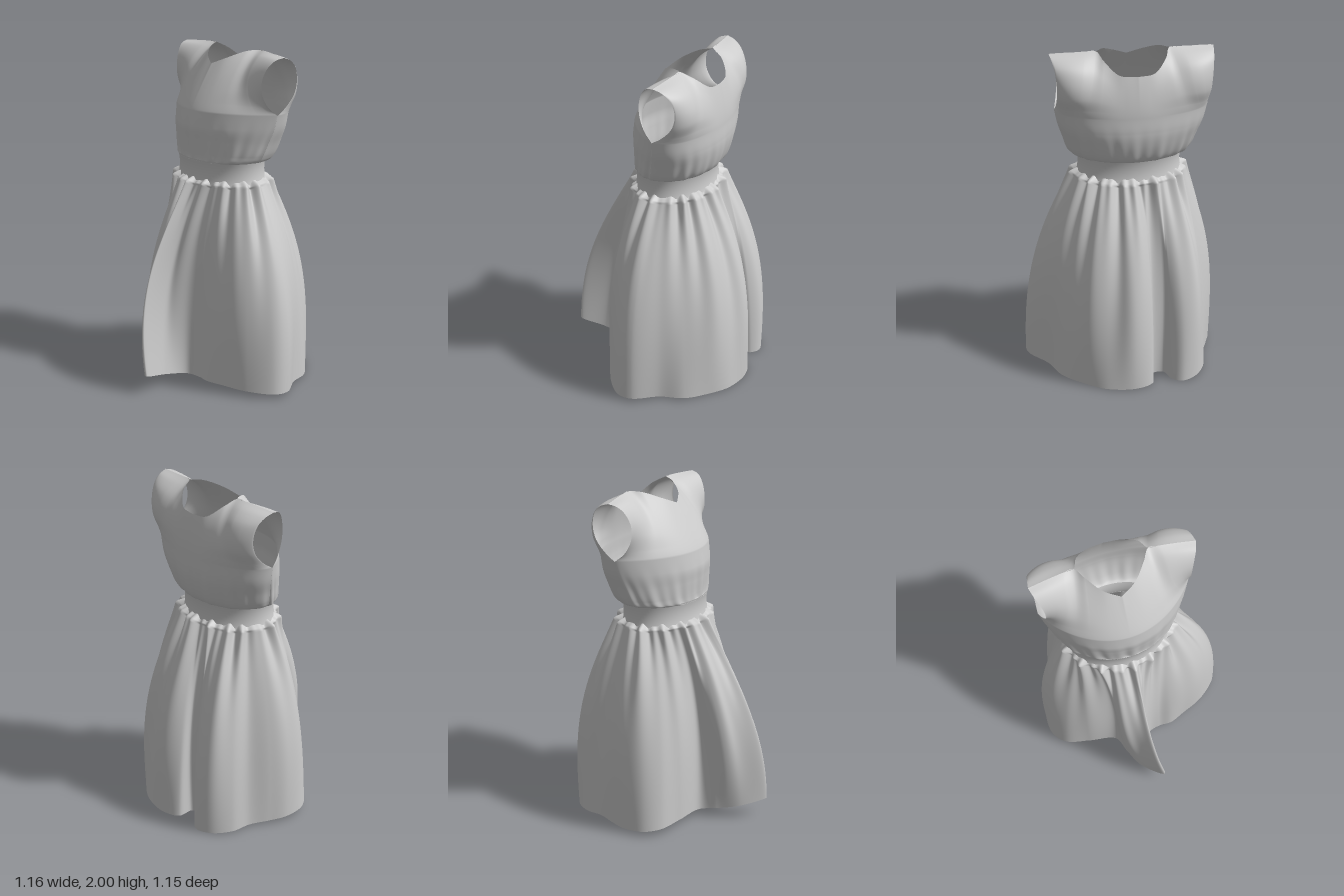
import * as THREE from 'three';
import { ParametricGeometry } from 'three/addons/geometries/ParametricGeometry.js';

const CX = -0.06; // centre line of the bodice and waist
const { lerp, smoothstep } = THREE.MathUtils;
const cloth = new THREE.MeshStandardMaterial({ color: 0xcccccc, side: THREE.DoubleSide });

// irregular gathering pattern around the body, about -1..1
const gather = (a) => 0.6 * Math.sin(17 * a + 1.3 * Math.sin(3 * a)) + 0.4 * Math.sin(29 * a + 2 * Math.sin(2 * a));

const curve3 = (pts, closed = false) =>
  new THREE.CatmullRomCurve3(pts.map((p) => new THREE.Vector3(...p)), closed);

function surface(name, fn, nu, nv) {
  const mesh = new THREE.Mesh(new ParametricGeometry(fn, nu, nv), cloth);
  mesh.name = name;
  return mesh;
}

// hem outline seen from above (x, z), starting at the front fold's tip
const hem = curve3([
  [0.05, 0.57], [0.02, 0.4], [0.04, 0.26], [0.12, 0.23], [0.2, 0.23], [0.3, 0.19], [0.45, 0.12],
  [0.57, 0], [0.57, -0.09], [0.46, -0.23], [0.4, -0.36], [0.28, -0.47], [0.15, -0.55],
  [-0.02, -0.575], [-0.13, -0.53], [-0.14, -0.44], [-0.21, -0.43], [-0.25, -0.51], [-0.31, -0.54],
  [-0.4, -0.5], [-0.47, -0.4], [-0.49, -0.28], [-0.54, -0.17], [-0.58, -0.06], [-0.57, 0.07],
  [-0.5, 0.15], [-0.35, 0.19], [-0.18, 0.23], [-0.14, 0.33], [-0.08, 0.46],
].map(([x, z]) => [x, 0, z]), true);
hem.arcLengthDivisions = 600;

// skirt: gathered waist ellipse flaring into the folded hem
function skirtPoint(u, v, out) {
  const a = u * Math.PI * 2;
  const t = Math.pow(1 - v, 1.5);
  const h = hem.getPointAt(u % 1);
  const spread = 1 - Math.pow(1 - t, lerp(2.8, 2.2, smoothstep(h.z, 0.2, 0.5)));
  const hemY = Math.max(0, 0.03 + 0.05 * h.z + (h.z > 0 ? 0.17 * h.z * h.z : 0));
  const g = gather(a);
  const mid = Math.sin(Math.PI * t);
  const pleat = 0.026 * g * Math.exp(-t * 4.5) * Math.min(1, t / 0.02)
    + 0.024 * Math.exp(-t * 12) * Math.min(1, t / 0.015)
    + 0.015 * mid * Math.sin(11 * a + 2 * Math.sin(2 * a) + 1.5 * t);
  const sway = 0.05 * mid * smoothstep(h.z, 0.2, 0.4); // the front fold leans to its right half way down
  const x = lerp(CX + 0.305 * Math.sin(a), h.x, spread) - sway;
  const z = lerp(-0.075 + 0.225 * Math.cos(a), h.z, spread);
  out.set(x + pleat * Math.sin(a), lerp(1.245 + 0.012 * g, hemY, t), z + pleat * Math.cos(a));
}

// waistband: slightly concave elliptical strip
function bandPoint(u, v, out) {
  const a = u * Math.PI * 2;
  const flare = 0.01 * (2 * v - 1) ** 2;
  out.set(CX + (0.302 + flare) * Math.sin(a), lerp(1.22, 1.365, v), -0.075 + (0.222 + flare) * Math.cos(a));
}

// lower bodice: half width, height, centre z of each ring, and its depth in front and behind
const widths = curve3([
  [0.31, 1.355, -0.075], [0.35, 1.368, -0.082], [0.37, 1.4, -0.09],
  [0.397, 1.48, -0.11], [0.425, 1.56, -0.13], [0.445, 1.65, -0.14],
]);
const depths = curve3([
  [0.23, 0.23, 0], [0.234, 0.245, 0], [0.243, 0.257, 0],
  [0.27, 0.262, 0], [0.295, 0.252, 0], [0.292, 0.24, 0],
]);

// neckline and shoulder seam, from centre to shoulder tip
const shoulder = [[0.21, 1.998, -0.19], [0.27, 1.998, -0.185], [0.36, 1.993, -0.175], [0.47, 1.985, -0.16]];
const frontEdge = curve3([[0, 1.91, 0.005], [0.09, 1.95, -0.04], [0.165, 1.99, -0.125], ...shoulder]);
const backEdge = curve3([[0, 1.885, -0.34], [0.1, 1.895, -0.325], [0.175, 1.96, -0.262], ...shoulder]);

// armhole edges, from armpit to shoulder tip
const frontArm = curve3([
  [0.445, 1.65, -0.14], [0.427, 1.7, -0.085], [0.416, 1.78, -0.048], [0.418, 1.86, -0.046],
  [0.435, 1.93, -0.072], [0.455, 1.97, -0.11], [0.47, 1.985, -0.16],
]);
const backArm = curve3([
  [0.445, 1.65, -0.14], [0.442, 1.69, -0.2], [0.442, 1.76, -0.262], [0.444, 1.84, -0.282],
  [0.452, 1.92, -0.262], [0.462, 1.965, -0.215], [0.47, 1.985, -0.16],
]);

// one half of the bodice: rings up to the armpit, then blended between neckline and armholes
function bodiceHalf(front) {
  const dir = front ? 1 : -1;
  const edge = front ? frontEdge : backEdge;
  const arm = front ? frontArm : backArm;
  const armpit = arm.getPoint(0);
  const tip = arm.getPoint(1);
  const split = 0.45;

  const ringPoint = (s, v) => {
    const a = s * Math.PI / 2;
    const r = widths.getPoint(v);
    const d = depths.getPoint(v);
    const power = lerp(1, front ? 1.6 : 0.88, v);
    const w = 0.009 * gather(front ? a : Math.PI + a) * Math.sin(Math.PI * v) * (1 - v);
    const depth = (front ? d.x : d.y) + w;
    return new THREE.Vector3((r.x + w) * Math.sin(a), r.y,
      r.z + dir * depth * Math.pow(Math.max(0, Math.cos(a)), power));
  };

  return (u, v, out) => {
    const s = 2 * u - 1;
    if (v <= split) {
      out.copy(ringPoint(s, v / split));
    } else {
      const t = (v - split) / (1 - split);
      const k = Math.abs(s);
      const side = Math.sign(s);
      const base = ringPoint(s, 1);
      const top = edge.getPoint(k);
      const e = arm.getPoint(t);
      const pull = smoothstep(k, 0.1, 1);
      const ease = Math.pow(t, front ? 1.12 : 1.7);
      out.set(
        lerp(base.x, top.x * side, t) + side * pull * (e.x - lerp(armpit.x, tip.x, t)),
        lerp(base.y, top.y, t) + pull * (e.y - lerp(armpit.y, tip.y, t)),
        lerp(base.z, top.z, ease) + pull * (e.z - lerp(armpit.z, tip.z, ease)),
      );
    }
    out.x = CX + dir * out.x;
  };
}

export function createModel() {
  const dress = new THREE.Group();
  dress.name = 'dress';

  const bodice = new THREE.Group();
  bodice.name = 'bodice';
  bodice.add(
    surface('bodiceFront', bodiceHalf(true), 120, 60),
    surface('bodiceBack', bodiceHalf(false), 120, 60),
  );

  dress.add(
    bodice,
    surface('waistband', bandPoint, 96, 8),
    surface('skirt', skirtPoint, 400, 56),
  );
  return dress;
}
